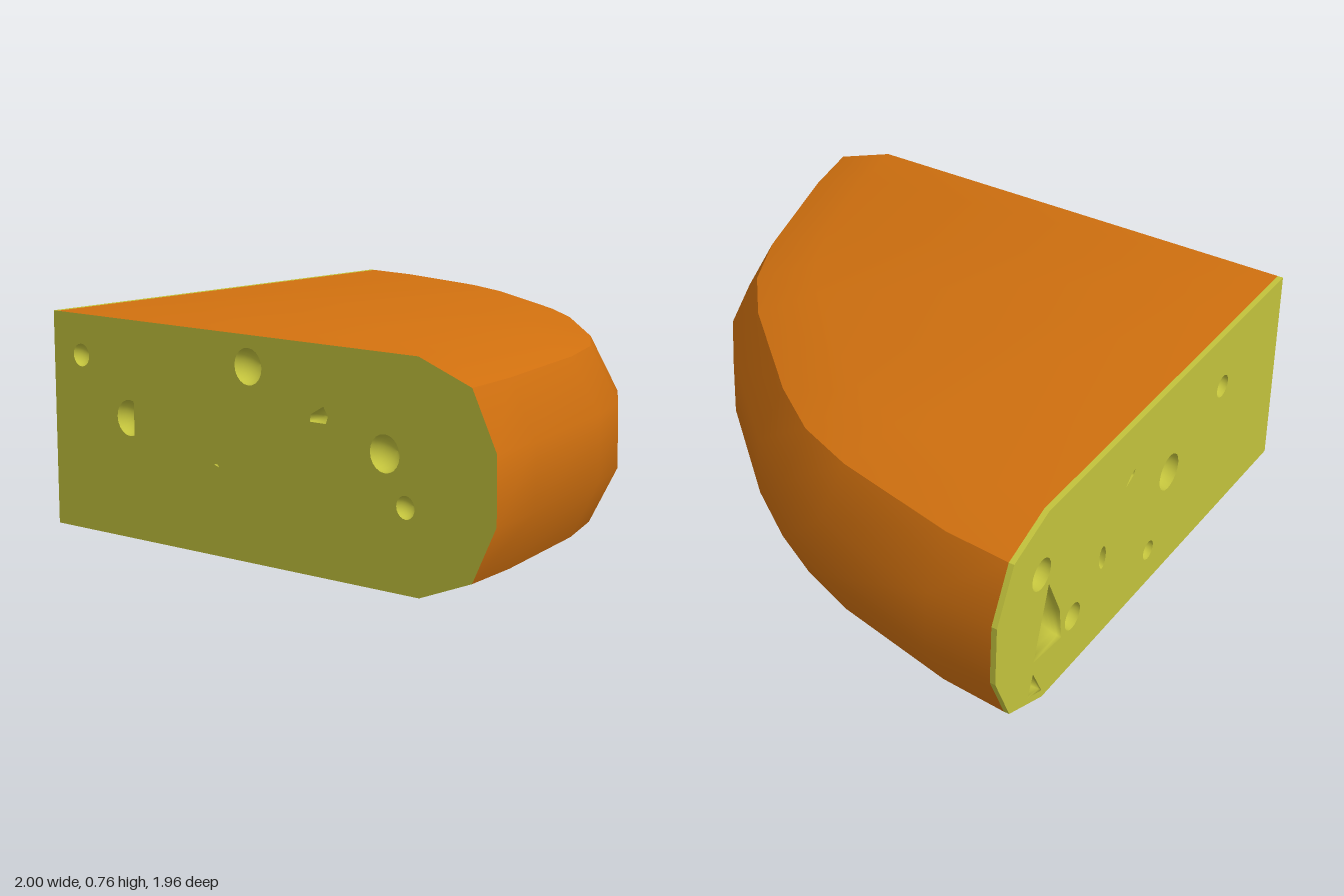
import * as THREE from 'three';
import { toCreasedNormals } from 'three/addons/utils/BufferGeometryUtils.js';

const rindMat = new THREE.MeshStandardMaterial({ color: 0xd0700f });
const cheeseMat = new THREE.MeshStandardMaterial({ color: 0xc2c23c });

const SLAB = 0.02; // thickness of the bare layer on the left cut
const DEPTH = 0.98;

// Section of the wheel: distance from the wedge tip (0 to 1), height
const profile = [[0, 0], [0.845, 0], [0.952, 0.08], [1, 0.27], [1, 0.495], [0.952, 0.685], [0.845, 0.76], [0, 0.76]];
// Plan of the rim, measured from the wedge tip
const rim = [[2, 0], [1.96, 0.24], [1.83, 0.74], [1.73, 0.98], [1.58, 1.18], [1.21, 1.54],
  [1, 1.7], [0.77, 1.8], [0.28, 1.93], [SLAB, 1.96]];

// Surface joining a loop of rows of points; each row has the same count
function loft(rows, closed) {
  const n = rows[0].length, index = [];
  const steps = closed ? n : n - 1;
  for (let r = 0; r < rows.length - 1; r++) {
    for (let i = 0; i < steps; i++) {
      const a = r * n + i, b = r * n + (i + 1) % n;
      index.push(a, b, b + n, a, b + n, a + n);
    }
  }
  const g = new THREE.BufferGeometry();
  g.setAttribute('position', new THREE.Float32BufferAttribute(rows.flat(2), 3));
  g.setIndex(index);
  g.computeVertexNormals();
  return g;
}

function makeRind() {
  const rows = profile.map(([s, y]) =>
    rim.map(([u, v]) => [Math.max(u * s, SLAB) - 1, y, DEPTH - v * s]));
  return new THREE.Mesh(toCreasedNormals(loft(rows, false), THREE.MathUtils.degToRad(35)), rindMat);
}

// Round hole outline, optionally cut straight at x = limit
function circle(x, y, r, limit = Infinity, squash = 1) {
  return Array.from({ length: 20 }, (_, i) => {
    const a = i / 20 * Math.PI * 2;
    return [Math.min(x + r * squash * Math.cos(a), limit), y + r * Math.sin(a)];
  });
}

// Hollow that starts at an outline and rounds off inwards
function makePit(outline, depth, z) {
  const cx = outline.reduce((t, p) => t + p[0], 0) / outline.length;
  const cy = outline.reduce((t, p) => t + p[1], 0) / outline.length;
  const rows = [];
  for (let k = 0; k <= 6; k++) {
    const a = k / 6 * Math.PI / 2, s = Math.cos(a);
    rows.push(outline.map(([x, y]) => [cx + (x - cx) * s, cy + (y - cy) * s, z - depth * Math.sin(a)]));
  }
  return new THREE.Mesh(loft(rows, true), cheeseMat);
}

// Flat cut face with its holes, facing local +z
function makeCut(points, holes, thickness) {
  const group = new THREE.Group();
  const toVectors = list => list.map(p => new THREE.Vector2(...p));
  const shape = new THREE.Shape(toVectors(points));
  shape.holes = holes.map(h => new THREE.Path(toVectors(h.outline)));
  const geometry = thickness
    ? new THREE.ExtrudeGeometry(shape, { depth: thickness, bevelEnabled: false })
    : new THREE.ShapeGeometry(shape);
  const face = new THREE.Mesh(geometry, cheeseMat);
  face.name = 'cutSurface';
  group.add(face);
  for (const h of holes) {
    const pit = makePit(h.outline, h.depth, thickness);
    pit.name = 'hole';
    group.add(pit);
  }
  return group;
}

const round = (x, y, r, limit, squash) => ({ outline: circle(x, y, r, limit, squash), depth: r });
const gouge = (depth, ...outline) => ({ outline, depth });

export function createModel() {
  const model = new THREE.Group();
  model.name = 'cheeseWedge';

  const rind = makeRind();
  rind.name = 'rind';
  model.add(rind);

  // Front cut, local x runs along +x
  const front = makeCut(profile.map(([s, y]) => [2 * s - 1, y]), [
    round(-0.86, 0.615, 0.04),
    round(-0.618, 0.42, 0.063, -0.597),
    round(-0.045, 0.655, 0.062),
    round(0.55, 0.44, 0.062),
    round(0.635, 0.28, 0.038),
    gouge(0.03, [0.23, 0.505], [0.3, 0.505], [0.31, 0.53], [0.29, 0.56], [0.235, 0.53]),
    gouge(0.01, [-0.21, 0.31], [-0.185, 0.302], [-0.195, 0.315]),
  ], 0);
  front.name = 'frontCut';
  front.position.z = DEPTH;
  model.add(front);

  // Left-hand cut at -x, local x runs along +z
  const side = makeCut(profile.map(([s, y]) => [DEPTH - 1.96 * s, y]), [
    round(0.54, 0.54, 0.042),
    round(0.16, 0.4, 0.068),
    round(0.04, 0.14, 0.036),
    round(-0.49, 0.21, 0.05),
    round(-0.71, 0.53, 0.058),
    round(-0.3, 0.33, 0.045, Infinity, 0.5),
    gouge(0.02, [-0.16, 0.53], [-0.11, 0.55], [-0.1, 0.57], [-0.13, 0.56]),
    gouge(0.06, [-0.74, 0.19], [-0.56, 0.17], [-0.58, 0.3], [-0.66, 0.46]),
    gouge(0.04, [-0.77, 0.06], [-0.68, 0.03], [-0.74, 0.14]),
  ], SLAB);
  side.name = 'sideCut';
  side.rotation.y = -Math.PI / 2;
  side.position.x = -1 + SLAB;
  model.add(side);

  return model;
}
